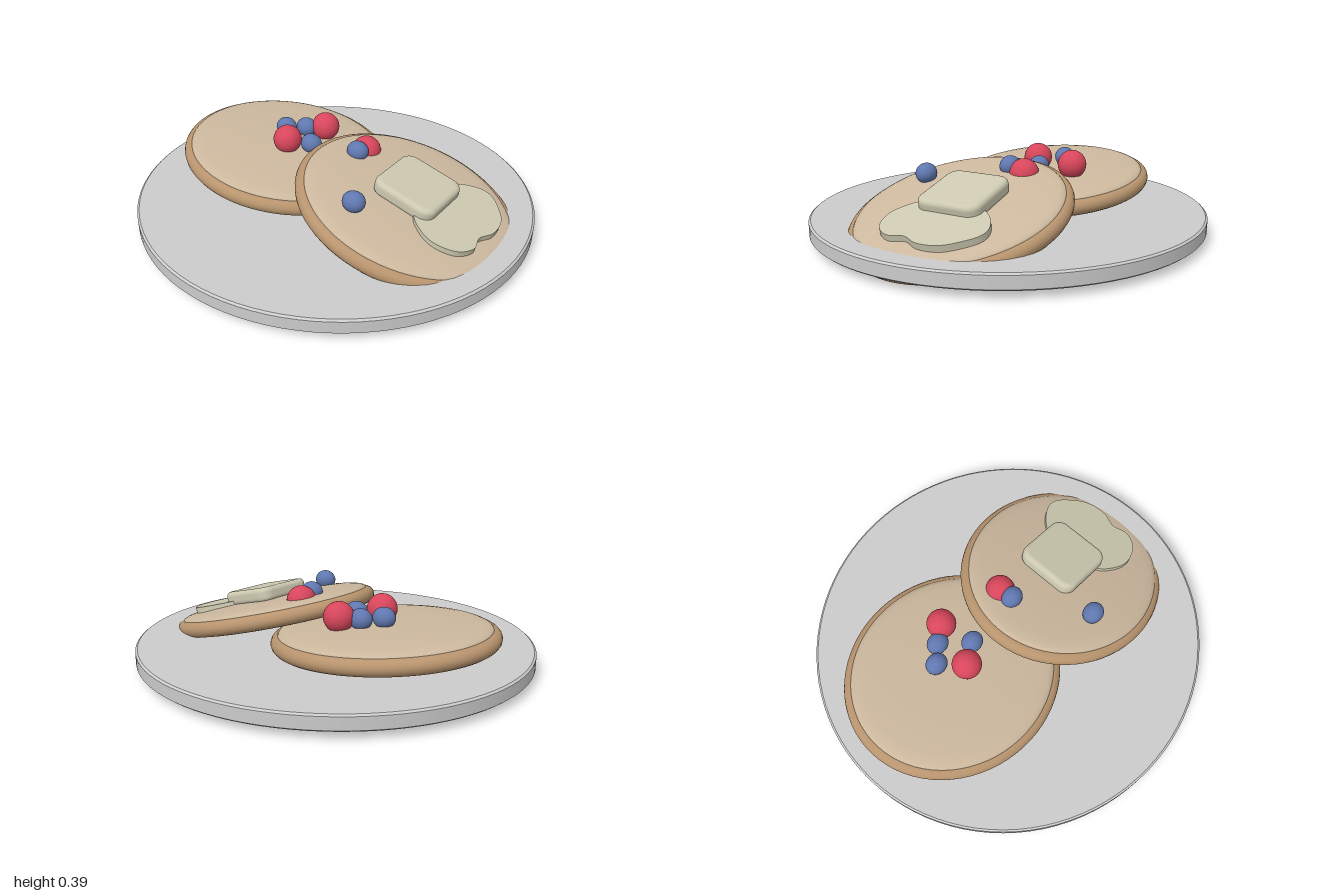
import * as THREE from 'three';

const mat = (color) => new THREE.MeshStandardMaterial({ color });
const plateMat = mat(0xcccccc);
const cakeMat = mat(0xccb89e);
const rimMat = mat(0xb8946e);
const butterMat = mat(0xccc8b0);
const redMat = mat(0xd8465c);
const blueMat = mat(0x6078b0);

function add(parent, name, geometry, material, x = 0, y = 0, z = 0) {
  const mesh = new THREE.Mesh(geometry, material);
  mesh.name = name;
  mesh.position.set(x, y, z);
  parent.add(mesh);
  return mesh;
}

// Slightly oval pancake: flat-topped dome inside a browned rim
function pancake(parent, name, x, y, z, tilt) {
  const cake = new THREE.Group();
  cake.name = name;
  cake.position.set(x, y, z);
  cake.rotation.x = tilt;
  const profile = [[0, -0.01], [0.46, -0.01], [0.475, 0], [0.477, 0.034], [0.468, 0.046],
    [0.45, 0.054], [0.41, 0.062], [0.3, 0.072], [0.15, 0.078], [0, 0.08]]
    .map(([r, h]) => new THREE.Vector2(r, h));
  const oval = 1.1;
  add(cake, 'pancakeBody', new THREE.LatheGeometry(profile, 72).scale(1, 1, oval), cakeMat);
  add(cake, 'pancakeRim', new THREE.TorusGeometry(0.468, 0.04, 16, 72).rotateX(Math.PI / 2)
    .scale(1, 1, oval), rimMat);
  parent.add(cake);
  return cake;
}

// Rounded square outline
function roundedSquare(half, r) {
  const s = new THREE.Shape();
  const c = half - r;
  s.absarc(c, c, r, 0, Math.PI / 2);
  s.absarc(-c, c, r, Math.PI / 2, Math.PI);
  s.absarc(-c, -c, r, Math.PI, Math.PI * 1.5);
  s.absarc(c, -c, r, Math.PI * 1.5, Math.PI * 2);
  return s;
}

export function createModel() {
  const model = new THREE.Group();
  model.name = 'pancakePlate';

  // Plate
  const plateProfile = [[0, 0.04], [0.99, 0.04], [1, 0.048], [1, 0.107], [0.99, 0.115], [0, 0.115]];
  const plate = new THREE.Group();
  plate.name = 'plate';
  plate.scale.x = 0.972;
  model.add(plate);
  for (let i = 0; i < plateProfile.length - 1; i++) {
    const pts = [plateProfile[i], plateProfile[i + 1]].map(([r, h]) => new THREE.Vector2(r, h));
    add(plate, 'plateSurface', new THREE.LatheGeometry(pts, 96), plateMat);
  }

  // Pancakes
  pancake(model, 'backPancake', 0.05, 0.195, -0.35, 0.087);
  const front = pancake(model, 'frontPancake', 0, 0.175, 0.42, 0.255);

  // Melted butter puddle, lying on the front pancake
  const outline = [[-0.215, 0.675], [-0.18, 0.585], [-0.125, 0.53], [0.04, 0.5], [0.2, 0.53],
    [0.295, 0.64], [0.3, 0.71], [0.24, 0.785], [0.165, 0.835], [0.06, 0.845], [-0.02, 0.815],
    [-0.1, 0.83], [-0.18, 0.785]];
  const curve = new THREE.CatmullRomCurve3(
    outline.map(([x, z]) => new THREE.Vector3(x, -(z - 0.44) * 1.033, 0)), true);
  const puddle = new THREE.Shape(curve.getPoints(72).slice(0, -1).map((p) => new THREE.Vector2(p.x, p.y)));
  add(front, 'meltedButter', new THREE.ExtrudeGeometry(puddle, { depth: 0.035, bevelEnabled: false })
    .rotateX(-Math.PI / 2), butterMat, 0, 0.06, 0);

  // Butter pat with softly rounded edges
  const bevel = 0.025;
  const pat = new THREE.ExtrudeGeometry(roundedSquare(0.165 - bevel, 0.035), {
    depth: 0.025, bevelThickness: bevel, bevelSize: bevel, bevelSegments: 5, curveSegments: 8,
  }).rotateX(-Math.PI / 2);
  add(front, 'butterPat', pat, butterMat, 0.035, 0.093, 0.008);

  // Berries
  for (const [x, y, z] of [[0, 0.315, -0.3], [0.235, 0.312, -0.23], [0.14, 0.315, 0.095]]) {
    add(model, 'redBerry', new THREE.SphereGeometry(0.073, 32, 20), redMat, x, y, z);
  }
  for (const [x, y, z] of [[0.11, 0.312, -0.395], [0.18, 0.305, -0.315], [0.063, 0.295, -0.195],
    [0.062, 0.345, 0.095], [-0.283, 0.31, 0.31]]) {
    const berry = add(model, 'blueBerry', new THREE.SphereGeometry(0.05, 28, 18), blueMat, x, y, z);
    berry.scale.z = 1.13;
  }
  return model;
}
